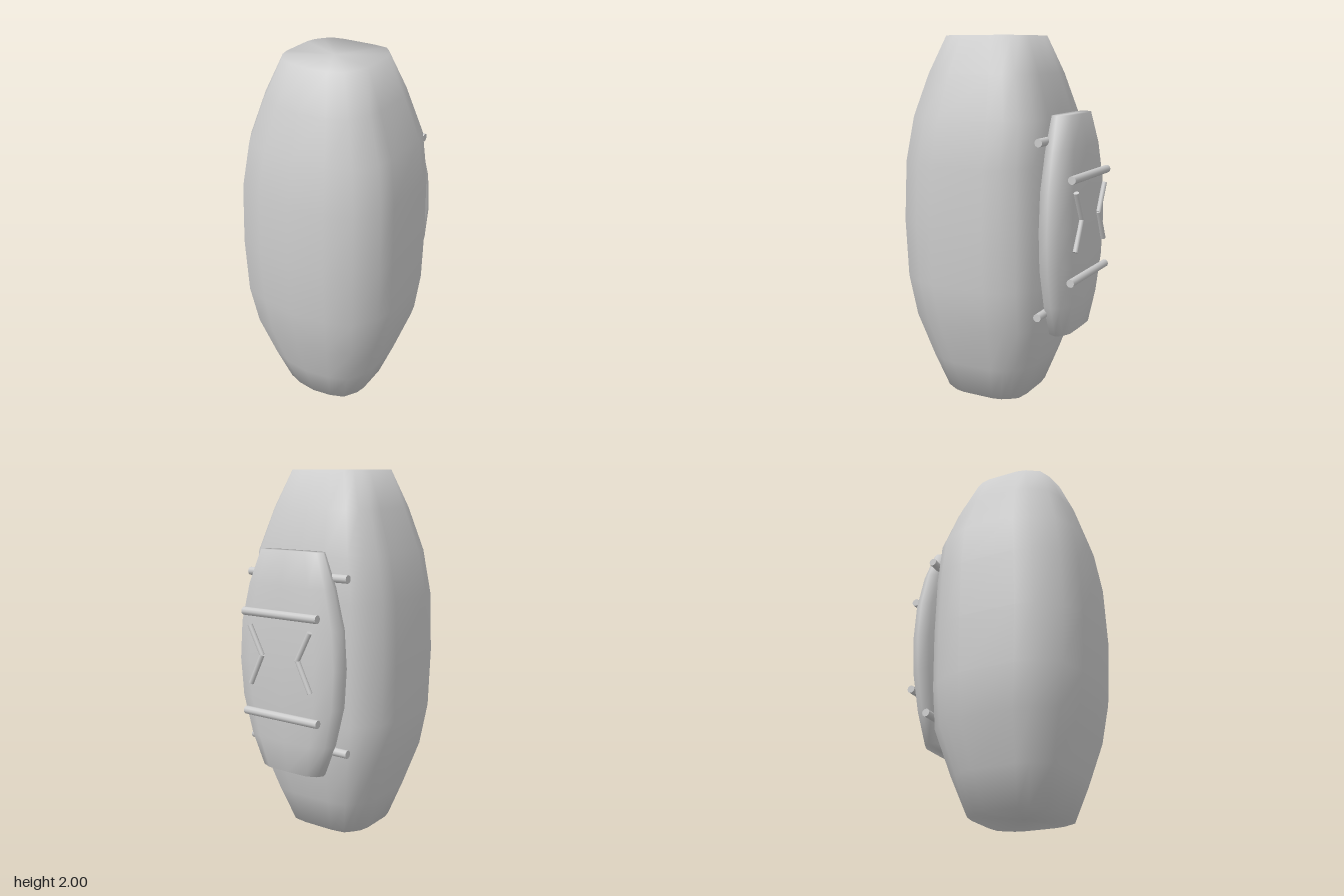
import * as THREE from 'three';

const material = new THREE.MeshStandardMaterial({ color: 0xcccccc });

// Smooth closed loft: half section (x, z from -1 to 1) mirrored and scaled per level.
// Levels run upwards: [y, halfWidth, zBack, zFront].
function loft(name, half, levels) {
  const mirrored = half.slice(1, -1).reverse().map(([x, z]) => [-x, z]);
  const section = [...half, ...mirrored];
  const n = section.length;
  const pos = [];
  const idx = [];
  for (const [y, w, zb, zf] of levels) {
    for (const [x, z] of section) pos.push(x * w, y, (zf + zb) / 2 + z * (zf - zb) / 2);
  }
  const last = (levels.length - 1) * n;
  const bottom = pos.length / 3;
  const top = bottom + 1;
  for (const [y, , zb, zf] of [levels[0], levels[levels.length - 1]]) pos.push(0, y, (zf + zb) / 2);
  for (let j = 0; j < n; j++) {
    const k = (j + 1) % n;
    for (let i = 0; i < last; i += n) {
      idx.push(i + j, i + k, i + n + k, i + j, i + n + k, i + n + j);
    }
    idx.push(bottom, k, j, top, last + j, last + k);
  }
  const geo = new THREE.BufferGeometry();
  geo.setAttribute('position', new THREE.Float32BufferAttribute(pos, 3));
  geo.setIndex(idx);
  geo.computeVertexNormals();
  const mesh = new THREE.Mesh(geo, material);
  mesh.name = name;
  return mesh;
}

// Round rod between two points
function rod(name, from, to, radius) {
  const a = new THREE.Vector3(...from);
  const b = new THREE.Vector3(...to);
  const mesh = new THREE.Mesh(new THREE.CylinderGeometry(radius, radius, a.distanceTo(b), 10), material);
  mesh.name = name;
  mesh.position.copy(a).add(b).multiplyScalar(0.5);
  mesh.quaternion.setFromUnitVectors(new THREE.Vector3(0, 1, 0), b.sub(a).normalize());
  return mesh;
}

export function createModel() {
  const group = new THREE.Group();
  group.name = 'bodyWithBackpack';

  // Barrel-shaped body with a soft square section
  group.add(loft('body', [
    [0, 1], [0.44, 0.94], [0.76, 0.82], [0.95, 0.52], [1, 0.3], [1, -0.43],
    [0.95, -0.64], [0.84, -0.8], [0.7, -0.95], [0.38, -1], [0, -1],
  ], [
    [0, 0.245, -0.185, 0.32],
    [0.2, 0.322, -0.258, 0.395],
    [0.45, 0.41, -0.335, 0.475],
    [0.68, 0.445, -0.343, 0.515],
    [1, 0.452, -0.347, 0.53],
    [1.33, 0.445, -0.343, 0.515],
    [1.57, 0.408, -0.335, 0.475],
    [1.8, 0.328, -0.262, 0.4],
    [2, 0.24, -0.18, 0.312],
  ]));

  // Backpack
  group.add(loft('backpack', [
    [0, 1], [0.55, 1], [0.93, 0.8], [1, 0.1], [0.9, -0.5], [0.62, -0.95], [0, -1],
  ], [
    [0.415, 0.2, -0.463, -0.355],
    [0.59, 0.27, -0.488, -0.347],
    [0.8, 0.325, -0.503, -0.343],
    [1.005, 0.34, -0.507, -0.343],
    [1.21, 0.325, -0.503, -0.343],
    [1.42, 0.27, -0.488, -0.347],
    [1.595, 0.2, -0.456, -0.355],
  ]));

  // Rods between body and pack, and rods across the pack
  for (const y of [0.545, 1.465]) group.add(rod('mountingRod', [-0.32, y, -0.355], [0.32, y, -0.355], 0.022));
  for (const y of [0.733, 1.275]) group.add(rod('packRod', [-0.24, y, -0.507], [0.24, y, -0.507], 0.022));

  // Bent handles facing each other
  for (const s of [-1, 1]) {
    const handle = new THREE.Group();
    handle.name = s > 0 ? 'leftHandle' : 'rightHandle';
    const z = -0.513;
    handle.add(
      rod('upperArm', [s * 0.195, 1.205, z], [s * 0.115, 1.05, z], 0.014),
      rod('lowerArm', [s * 0.115, 1.055, z], [s * 0.195, 0.89, z], 0.014),
    );
    group.add(handle);
  }
  return group;
}
